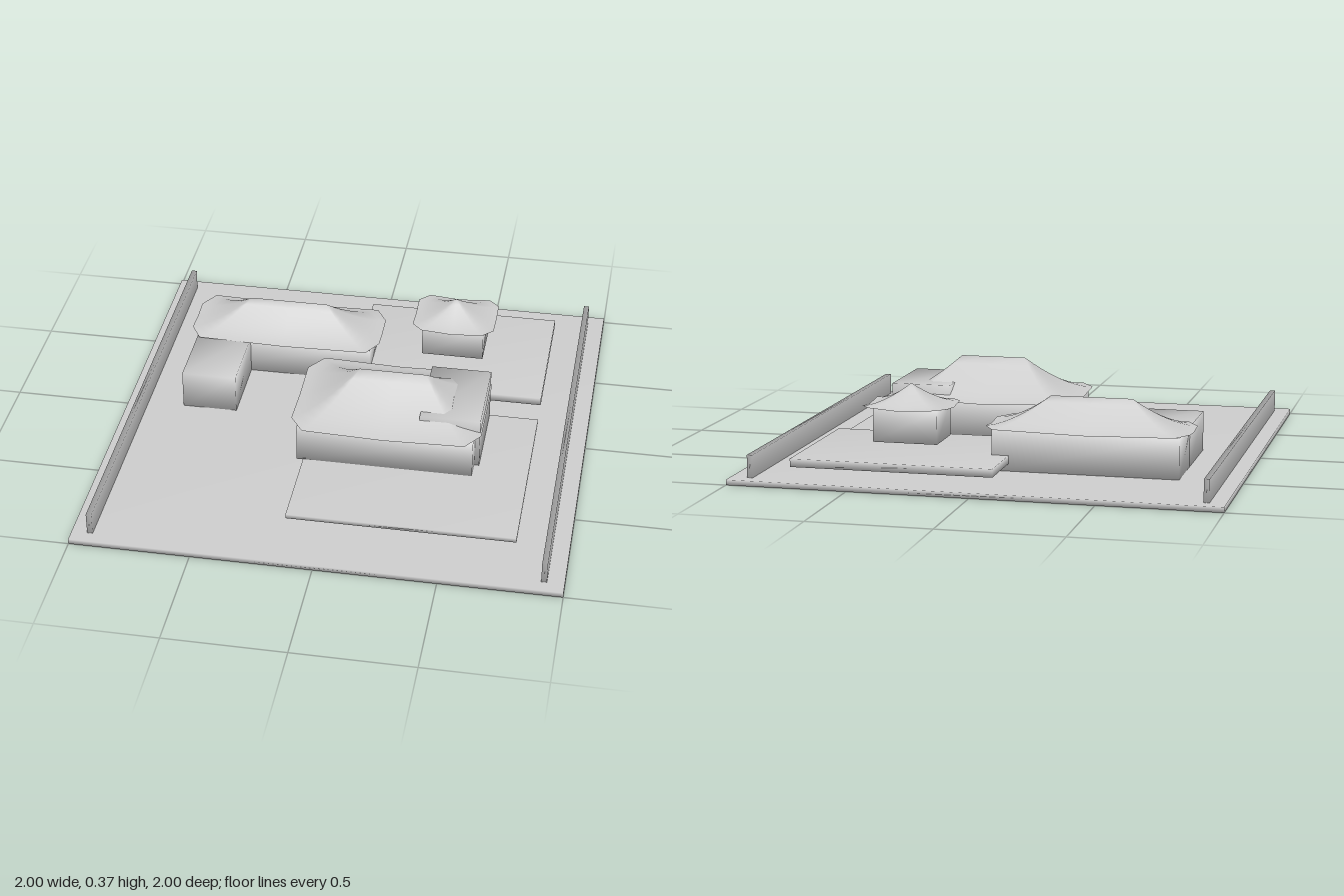
import * as THREE from 'three';
import { mergeVertices } from 'three/addons/utils/BufferGeometryUtils.js';

export function createModel() {
  const group = new THREE.Group();
  const stone = new THREE.MeshStandardMaterial({ color: 0xcccccc, side: THREE.DoubleSide });
  stone.name = 'pale grey stone';

  // Weld shared corners so the shading runs smoothly around each part
  function addSmooth(name, geometry) {
    geometry.deleteAttribute('normal');
    geometry.deleteAttribute('uv');
    const welded = mergeVertices(geometry, 1e-4);
    welded.computeVertexNormals();
    const mesh = new THREE.Mesh(welded, stone);
    mesh.name = name;
    group.add(mesh);
  }

  // Box given by its extents on each axis
  function addBox(name, [x0, x1], [y0, y1], [z0, z1]) {
    const geometry = new THREE.BoxGeometry(x1 - x0, y1 - y0, z1 - z0);
    geometry.translate((x0 + x1) / 2, (y0 + y1) / 2, (z0 + z1) / 2);
    addSmooth(name, geometry);
  }

  // Swept hip roof: a clipped-corner eave curving up to a ridge, corners slightly raised
  function addRoof(name, { cx, cz, hx, hz, cutX, cutZ, ridge, eave, top, lift }) {
    const outline = [
      [hx, 0], [hx, hz - cutZ], [hx - cutX, hz],
      [0, hz], [cutX - hx, hz], [-hx, hz - cutZ],
      [-hx, 0], [-hx, cutZ - hz], [cutX - hx, -hz],
      [0, -hz], [hx - cutX, -hz], [hx, cutZ - hz],
    ];
    const n = outline.length, steps = 8, positions = [], index = [];
    for (let i = 0; i <= steps; i++) {
      const t = i / steps;
      outline.forEach(([x, z], j) => {
        const raise = j % 3 === 0 ? 0 : lift * (1 - t) ** 2;
        positions.push(
          cx + x + (Math.sign(x) * ridge - x) * t,
          eave + (top - eave) * t ** 1.5 + raise,
          cz + z * (1 - t));
        if (i === steps) return;
        const a = i * n + j, b = i * n + (j + 1) % n;
        index.push(a, a + n, b);
        if (i < steps - 1 || j % 3 !== 1) index.push(b, a + n, b + n);
      });
    }
    const geometry = new THREE.BufferGeometry();
    geometry.setAttribute('position', new THREE.Float32BufferAttribute(positions, 3));
    geometry.setIndex(index);
    addSmooth(name, geometry);
  }

  // Courtyard floor, side walls and raised terraces
  addBox('ground', [-1, 1], [0, 0.022], [-1, 1]);
  addBox('rightWall', [-0.935, -0.912], [0.02, 0.115], [-0.945, 0.945]);
  addBox('leftWall', [0.907, 0.93], [0.02, 0.115], [-0.945, 0.945]);
  addBox('frontTerrace', [-0.16, 0.785], [0.033, 0.052], [-0.105, 0.73]);
  addBox('backTerrace', [-0.055, 0.785], [0.052, 0.086], [-0.845, -0.215]);

  // Main hall with a side wing pushed through its roof
  addBox('mainHall', [-0.187, 0.555], [0.05, 0.212], [-0.13, 0.345]);
  addBox('mainHallWing', [0.32, 0.575], [0.05, 0.273], [-0.11, 0.265]);
  addRoof('mainHallRoof', { cx: 0.182, cz: 0.1, hx: 0.4, hz: 0.275, cutX: 0.06, cutZ: 0.085,
    ridge: 0.14, eave: 0.21, top: 0.37, lift: 0.01 });

  // Rear hall and its annex
  addBox('rearHall', [-0.755, 0.015], [0.02, 0.19], [-0.585, -0.315]);
  addBox('rearHallAnnex', [-0.755, -0.52], [0.02, 0.19], [-0.34, 0.005]);
  addRoof('rearHallRoof', { cx: -0.37, cz: -0.45, hx: 0.42, hz: 0.176, cutX: 0.048, cutZ: 0.08,
    ridge: 0.168, eave: 0.19, top: 0.316, lift: 0.008 });

  // Small pavilion with a pointed roof
  addBox('pavilion', [0.232, 0.502], [0.125, 0.265], [-0.627, -0.422]);
  addRoof('pavilionRoof', { cx: 0.367, cz: -0.528, hx: 0.179, hz: 0.146, cutX: 0.045, cutZ: 0.045,
    ridge: 0, eave: 0.263, top: 0.357, lift: 0.01 });

  return group;
}
